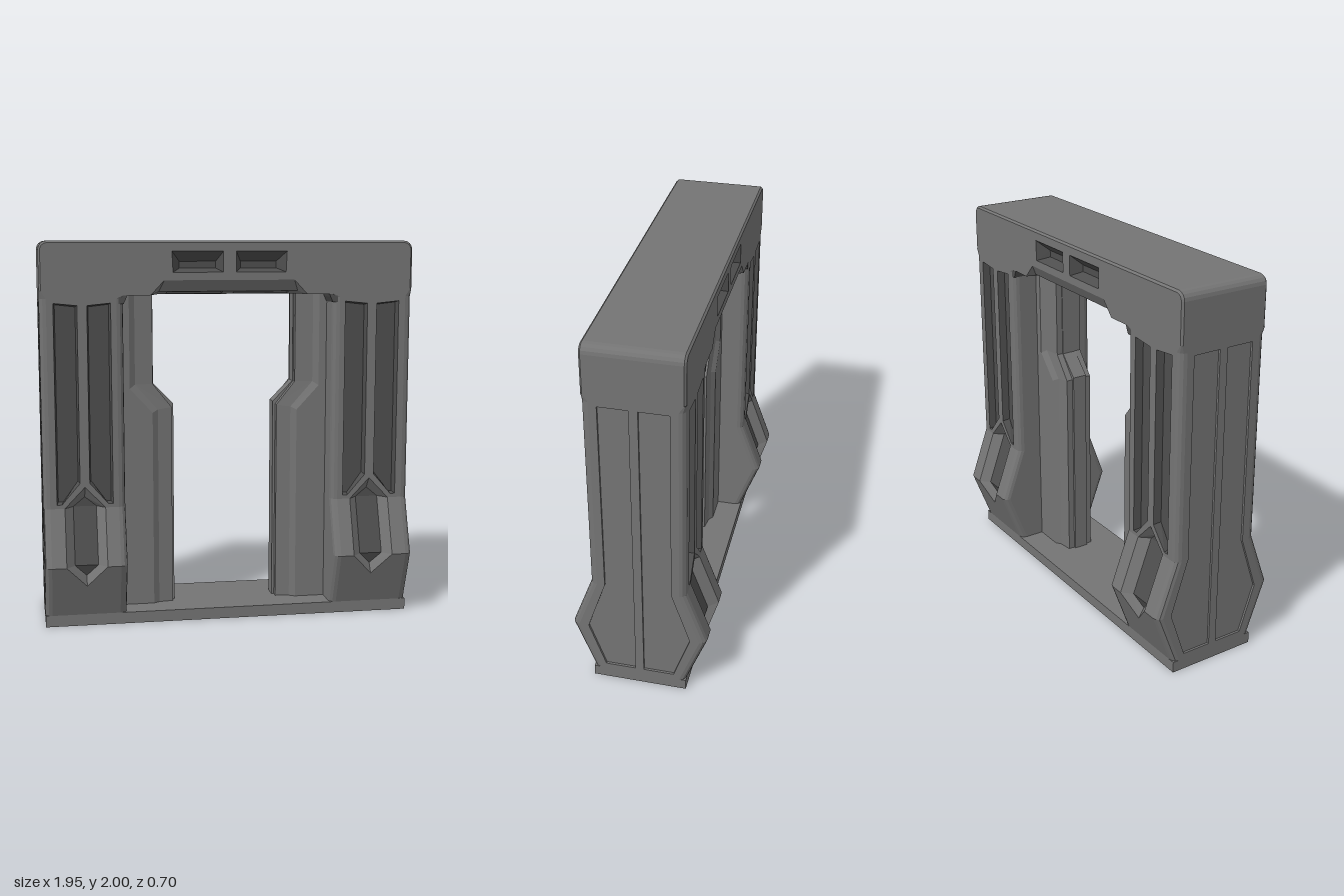
import * as THREE from 'three';
import { mergeGeometries } from 'three/addons/utils/BufferGeometryUtils.js';

const paint = (color) => new THREE.MeshStandardMaterial({ color, flatShading: true, side: THREE.DoubleSide });
const GREY = paint(0x747474);
const DARK = paint(0x4e4e4e);
const V = (x, y, z) => new THREE.Vector3(x, y, z);
const D = 0.245;   // half depth of the frame
const W = 0.975;   // half width
const SOFFIT = 1.725;

function fromPoints(points) {
  const g = new THREE.BufferGeometry().setFromPoints(points);
  g.computeVertexNormals();
  return g;
}

// Flat polygon with holes, placed in space by map(u, v)
function sheet(outline, holes, map) {
  const to2 = (l) => l.map(([u, v]) => new THREE.Vector2(u, v));
  const all = [outline, ...holes].flat();
  const faces = THREE.ShapeUtils.triangulateShape(to2(outline), holes.map(to2));
  return fromPoints(faces.flat().map((i) => map(all[i][0], all[i][1])));
}

// Band of quads between two paths
function strip(a, b, closed = false) {
  const out = [];
  for (let i = 0; i < a.length - (closed ? 0 : 1); i++) {
    const j = (i + 1) % a.length;
    out.push(a[i], b[i], b[j], a[i], b[j], a[j]);
  }
  return fromPoints(out);
}

// Bands between each path and the next
const loft = (paths) => paths.slice(1).map((p, i) => strip(paths[i], p));

// Sunken panel: walls from rim to floor, and the floor itself
const walls = (outer, inner, map, depth) =>
  strip(outer.map(([u, v]) => map(u, v, 0)), inner.map(([u, v]) => map(u, v, depth)), true);
const floor = (inner, map, depth) => sheet(inner, [], (u, v) => map(u, v, depth));
const recess = (outer, inner, map, depth) => [walls(outer, inner, map, depth), floor(inner, map, depth)];

// Moves every corner toward the middle by e
function inset(pts, e) {
  const mean = (k) => pts.reduce((s, p) => s + p[k], 0) / pts.length;
  const c = [mean(0), mean(1)];
  return pts.map((p) => p.map((n, k) => n - Math.sign(n - c[k]) * e));
}

const rect = (x0, y0, x1, y1) => [[x0, y0], [x1, y0], [x1, y1], [x0, y1]];
const flip = (pts, about = 0) => pts.map(([x, y]) => [2 * about - x, y]);

function add(parent, name, parts, material = GREY) {
  const mesh = new THREE.Mesh(mergeGeometries(parts), material);
  mesh.name = name;
  parent.add(mesh);
}

// Half depth of the pillar at height y, with the flared foot
const LEVELS = [[0.06, 0.245], [0.34, 0.35], [0.63, D], [1.71, D]];
function flare(y) {
  for (let i = 0; i < 3; i++) {
    const [y0, h0] = LEVELS[i], [y1, h1] = LEVELS[i + 1];
    if (y <= y1) return h0 + (h1 - h0) * (y - y0) / (y1 - y0);
  }
  return D;
}

function pillar() {
  const body = [], dark = [];
  const xi = 0.55, xo = W, c = 0.035, mid = 0.76;
  const a = xi + c, b = xo - c;
  const hex = [[mid, 0.74], [0.865, 0.63], [0.865, 0.34], [mid, 0.23], [0.655, 0.34], [0.655, 0.63]];
  const low = [[mid, 0.68], [0.82, 0.63], [0.82, 0.34], [mid, 0.28], [0.7, 0.34], [0.7, 0.63]];
  const lowBands = [[5, 0, 1], [1, 2, 4, 5], [2, 3, 4]].map((band) => band.map((i) => low[i]));
  const panel = [[0.615, 0.65], [0.64, 0.65], [0.735, 0.76], [0.735, 1.675], [0.615, 1.687]];
  const panels = [panel, flip(panel, mid)];

  for (const s of [1, -1]) {
    const face = (x, y, d = 0) => V(x, y, s * (flare(y) - d));
    // Front and back skins in three flat bands around the hexagonal pocket
    body.push(
      sheet([[a, 0.06], [b, 0.06], [b, 0.34], hex[2], hex[3], hex[4], [a, 0.34]], [], face),
      sheet(rect(a, 0.34, 0.655, 0.63), [], face),
      sheet(rect(0.865, 0.34, b, 0.63), [], face),
      sheet([[a, 0.63], hex[5], hex[0], hex[1], [b, 0.63], [b, 1.71], [a, 1.71]], panels, face),
      walls(hex, low, face, 0.05),
    );
    dark.push(
      ...lowBands.map((band) => floor(band, face, 0.05)),
      ...panels.flatMap((p) => recess(p, inset(p, 0.008), face, 0.04)),
    );
    // Rounded corners, running out into the square lintel
    for (const [x, dir, top, r] of [[xo, 1, 1.75, 0.01], [xi, -1, SOFFIT, 0]]) {
      const paths = [0, 1, 2, 3].map((i) => {
        const t = i * Math.PI / 6, dx = 1 - Math.sin(t), dz = 1 - Math.cos(t);
        return [
          ...LEVELS.map(([y, h]) => V(x - dir * c * dx, y, s * (h - c * dz))),
          V(x - dir * r * dx, top, s * (D - r * dz)),
        ];
      });
      body.push(...loft(paths));
    }
  }

  // Side skins; the outer one has two long shallow panels
  const half = LEVELS.map(([y, h]) => [h - c, y]);
  const outline = (top) => [...half, top, ...flip([...half, top]).reverse()];
  const long = [[0.022, 0.09], [0.18, 0.09], [0.265, 0.34], [0.17, 0.63], [0.17, 1.69], [0.022, 1.69]];
  const longs = [long, flip(long)];
  const side = (z, y, d = 0) => V(xo - d, y, z);
  body.push(
    sheet(outline([D - 0.01, 1.75]), longs, side),
    sheet(outline([D, SOFFIT]), [], (z, y) => V(xi, y, z)),
    ...longs.flatMap((p) => recess(p, p, side, 0.012)),
  );
  return { body, dark };
}

// Stepped door jamb: vertical profiles [upper x, lower x, upper bend, lower bend, z]
function jamb() {
  const half = [
    [0.56, 0.56, 1.23, 1.1, 0.105], [0.51, 0.39, 1.23, 1.1, 0.105], [0.48, 0.36, 1.25, 1.115, 0.085],
    [0.385, 0.285, 1.25, 1.125, 0.075], [0.385, 0.285, 1.25, 1.125, 0.04], [0.38, 0.272, 1.25, 1.14, 0.04],
  ];
  const all = [...half, ...half.map((p) => [...p.slice(0, 4), -p[4]]).reverse()];
  return loft(all.map(([u, l, yu, yl, z]) => [V(u, SOFFIT, z), V(u, yu, z), V(l, yl, z), V(l, 0.06, z)]));
}

// Small wedge where the pillar's inner corner meets the lintel
function bracket() {
  const shape = new THREE.Shape([[0.53, SOFFIT], [0.535, 1.71], [0.548, 1.682], [0.575, 1.682], [0.59, 1.712], [0.59, SOFFIT]]
    .map(([x, y]) => new THREE.Vector2(x, y)));
  return [new THREE.ExtrudeGeometry(shape, { depth: 0.484, bevelEnabled: false }).translate(0, 0, -0.242)];
}

function lintel() {
  const body = [], dark = [];
  // Path over the top with rounded shoulders
  const over = (e) => {
    const r = 0.045, right = [[W - e, 1.75]];
    for (let i = 0; i <= 4; i++) {
      const t = i * Math.PI / 8;
      right.push([W - r + (r - e) * Math.cos(t), 2 - r + (r - e) * Math.sin(t)]);
    }
    return [...right, ...flip(right).reverse()];
  };
  const at = (pts, z) => pts.map(([x, y]) => V(x, y, z));
  const rim = over(0), inner = over(0.01);
  body.push(strip(at(rim, D - 0.01), at(rim, 0.01 - D)));

  const below = [[0.34, 1.8], [0.41, SOFFIT], [0.55, SOFFIT], [0.585, 1.71], [0.94, 1.71]];
  const outline = [...inner, ...flip(below).reverse(), ...below];
  const win = [[0.033, 1.84], [0.295, 1.84], [0.3, 1.947], [0.033, 1.947]];
  const winLow = [[0.065, 1.86], [0.255, 1.86], [0.255, 1.895], [0.065, 1.895]];
  // Relief above the opening: a slope to the lip, then a shallow slotted ramp
  const lip = 0.212, lipY = 1.742, back = 0.13;
  const slot = rect(0.03, 0.145, 0.32, 0.198);

  for (const s of [1, -1]) {
    const face = (x, y, d = 0) => V(x, y, s * (D - d));
    const under = (x, z) => V(x, SOFFIT, s * z);
    const ramp = (x, z, d = 0) => V(x, SOFFIT + (lipY - SOFFIT) * (z - back) / (lip - back) + d, s * z);
    body.push(
      strip(at(inner, s * D), at(rim, s * (D - 0.01))),
      sheet(outline, [win, flip(win)], face),
      strip([V(-0.34, 1.8, s * D), V(0.34, 1.8, s * D)], [V(-0.365, lipY, s * lip), V(0.365, lipY, s * lip)]),
      sheet([[-0.365, lip], [-0.365, back], [0.365, back], [0.365, lip]], [slot, flip(slot)], ramp),
      sheet([[-0.56, 0], [0.56, 0], [0.56, D], [0.41, D], [0.365, back], [-0.365, back], [-0.41, D], [-0.56, D]],
        [], under),
    );
    for (const m of [1, -1]) {
      const f = (p) => (m > 0 ? p : flip(p));
      const foot = V(m * 0.41, SOFFIT, s * D), corner = V(m * 0.365, lipY, s * lip);
      body.push(fromPoints([
        V(m * 0.34, 1.8, s * D), foot, corner,
        corner, foot, V(m * 0.365, SOFFIT, s * back),
      ]));
      dark.push(
        ...recess(f(win), f(winLow), face, 0.06),
        ...recess(f(slot), inset(f(slot), 0.008), ramp, 0.03),
      );
    }
  }
  return { body, dark };
}

export function createModel() {
  const model = new THREE.Group();
  model.name = 'doorFrame';
  add(model, 'threshold', [new THREE.BoxGeometry(2 * W, 0.06, 2 * D).translate(0, 0.03, 0)]);
  const top = lintel(), post = pillar();
  add(model, 'lintel', top.body);
  add(model, 'lintelRecesses', top.dark, DARK);
  for (const [name, m] of [['left', 1], ['right', -1]]) {
    const side = new THREE.Group();
    side.name = name + 'Side';
    side.scale.x = m;
    add(side, name + 'Pillar', post.body);
    add(side, name + 'PillarPanels', post.dark, DARK);
    add(side, name + 'Jamb', jamb());
    add(side, name + 'Bracket', bracket(), DARK);
    model.add(side);
  }
  return model;
}
